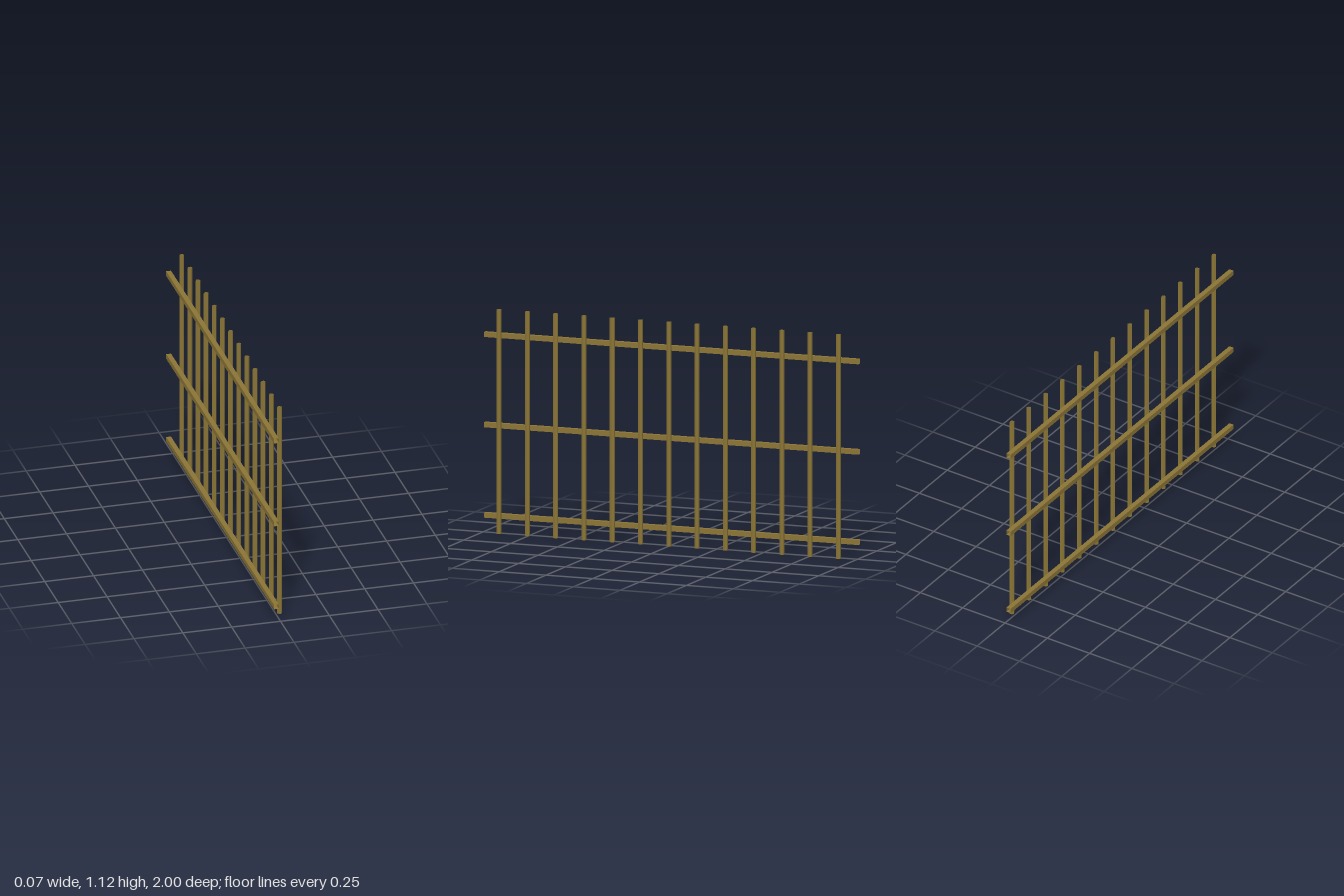
import * as THREE from 'three';

const HEIGHT = 1.125;
const BAR_COUNT = 13;
const BAR_SPACING = 0.151;

export function createModel() {
  const model = new THREE.Group();
  model.name = 'fence';
  const brass = new THREE.MeshStandardMaterial({ color: 0x8b7536, side: THREE.DoubleSide });
  brass.name = 'agedBrass';

  // Hollow faceted tube along y, open at both ends
  const tube = (radius, length, sides, turn) => {
    const g = new THREE.CylinderGeometry(radius, radius, length, sides, 1, true).toNonIndexed();
    g.computeVertexNormals();
    return g.rotateY(turn);
  };
  const add = (name, geometry, x, y, z) => {
    const mesh = new THREE.Mesh(geometry, brass);
    mesh.name = name;
    mesh.position.set(x, y, z);
    model.add(mesh);
  };

  // Upright hexagonal bars, on the +x side
  const barGeometry = tube(0.0125, HEIGHT, 6, Math.PI / 2);
  for (let i = 0; i < BAR_COUNT; i++) {
    add('uprightBar', barGeometry, 0.0205, HEIGHT / 2, (i - (BAR_COUNT - 1) / 2) * BAR_SPACING);
  }

  // Square rails running along z, on the -x side
  const railGeometry = tube(0.0125 * Math.SQRT2, 2, 4, Math.PI / 4).rotateX(Math.PI / 2);
  for (const y of [0.082, 0.535, 0.988]) add('rail', railGeometry, -0.021, y, 0);

  return model;
}
